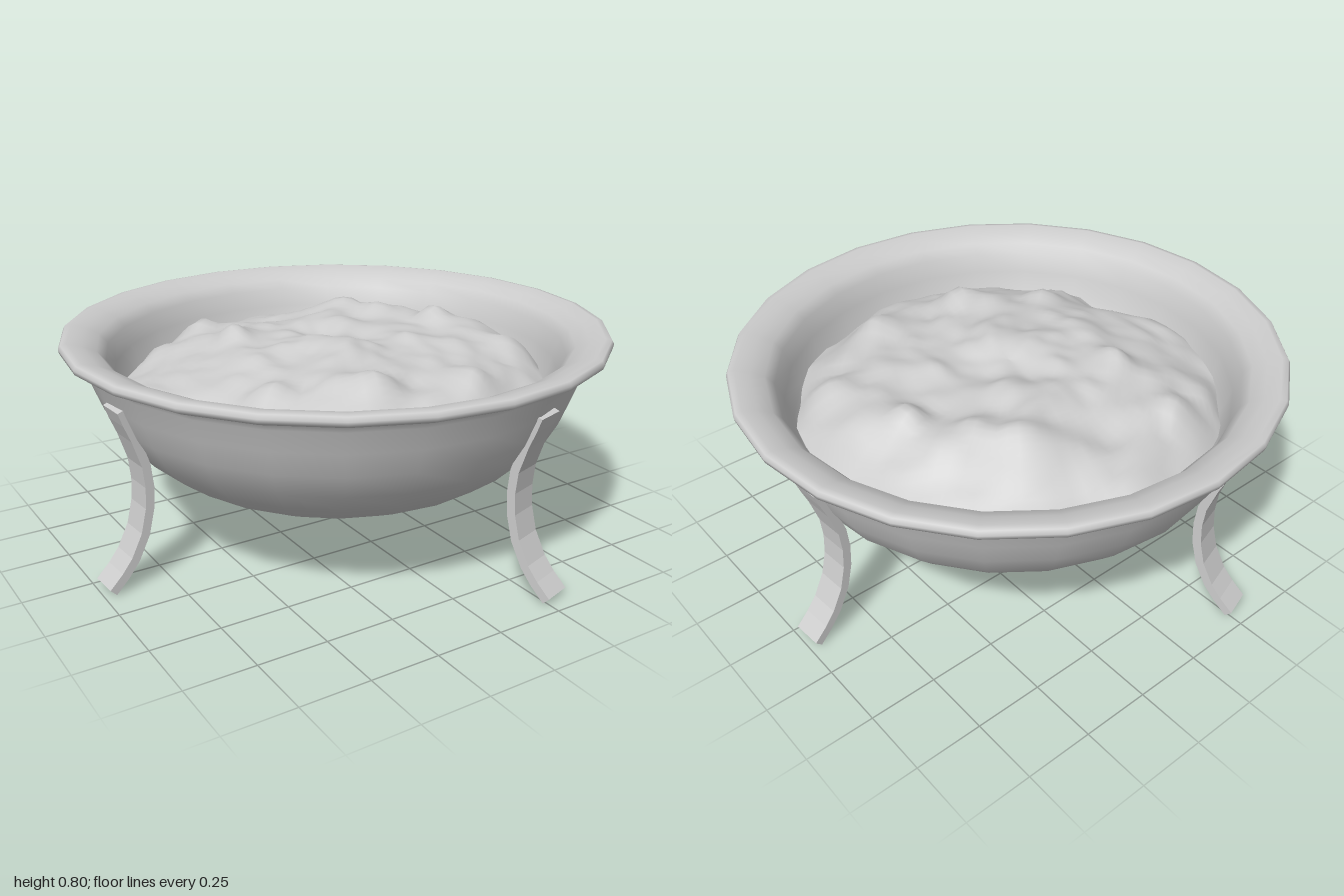
import * as THREE from 'three';
import { mergeVertices } from 'three/addons/utils/BufferGeometryUtils.js';

const V = (x, y) => new THREE.Vector2(x, y);

// Seeded smooth value noise on the xz plane, range -1..1
function hash(i, j) {
  const s = Math.sin(i * 127.1 + j * 311.7 + 5.3) * 43758.5453;
  return (s - Math.floor(s)) * 2 - 1;
}
function noise(x, z) {
  const i = Math.floor(x), j = Math.floor(z);
  const u = THREE.MathUtils.smoothstep(x - i, 0, 1);
  const v = THREE.MathUtils.smoothstep(z - j, 0, 1);
  const { lerp } = THREE.MathUtils;
  return lerp(lerp(hash(i, j), hash(i + 1, j), u), lerp(hash(i, j + 1), hash(i + 1, j + 1), u), v);
}

// Individual lumps on the heap: x, z, height, radius
const LUMPS = [
  [-0.08, 0.12, 0.05, 0.12], [0.29, -0.39, 0.06, 0.12], [0.38, -0.24, 0.05, 0.08],
  [-0.15, 0.49, 0.07, 0.1], [0.22, 0.56, 0.06, 0.09], [0.5, -0.06, 0.06, 0.07],
  [0.64, 0.06, 0.07, 0.13], [0.56, 0.3, 0.06, 0.1], [-0.3, -0.55, 0.07, 0.08],
  [-0.32, -0.24, 0.05, 0.07], [-0.45, 0.32, 0.05, 0.08],
];

function heapHeight(x, z) {
  const t = Math.min(1, Math.hypot(x, z) / 0.775);
  let y = 0.59 + 0.15 * (1 - t ** 3.5);
  y += 0.025 * noise(x * 4 + 9, z * 4) + 0.02 * noise(x * 8, z * 8 + 4) + 0.008 * noise(x * 17, z * 17);
  for (const [lx, lz, h, r] of LUMPS) {
    y += h * Math.exp(-((x - lx) ** 2 + (z - lz) ** 2) / (r * r));
  }
  return Math.min(y, 0.81);
}

// Rough mound of material filling the bowl
function heapGeometry() {
  let geo = new THREE.RingGeometry(0.002, 0.775, 80, 30).rotateX(-Math.PI / 2);
  geo.deleteAttribute('uv');
  geo.deleteAttribute('normal');
  geo = mergeVertices(geo, 1e-5);
  const p = geo.attributes.position;
  for (let i = 0; i < p.count; i++) {
    const x = p.getX(i), z = p.getZ(i), r = Math.hypot(x, z);
    // ragged outline and slightly shifted lumps
    const k = 1 + 0.02 * (r / 0.775) * noise(x * 7 + 3, z * 7 + 1);
    p.setXYZ(i, x * k, heapHeight(x, z), z * k);
  }
  geo.computeVertexNormals();
  return geo;
}

// Curved flat strip: outline in radius/height, extruded to its width
function legGeometry() {
  const line = [
    V(0.975, 0.016), V(0.925, 0.065), V(0.885, 0.115), V(0.842, 0.2), V(0.82, 0.29),
    V(0.815, 0.37), V(0.823, 0.45), V(0.855, 0.55), V(0.88, 0.61), V(0.897, 0.658),
  ];
  const side = (s) => line.map((p, i) => {
    const t = line[Math.min(i + 1, line.length - 1)].clone().sub(line[Math.max(i - 1, 0)]).normalize();
    return V(p.x + t.y * s, p.y - t.x * s);
  });
  const shape = new THREE.Shape([...side(0.016), ...side(-0.016).reverse()]);
  return new THREE.ExtrudeGeometry(shape, { depth: 0.11, bevelEnabled: false }).translate(0, 0, -0.055);
}

export function createModel() {
  const group = new THREE.Group();
  const grey = new THREE.MeshStandardMaterial({ color: 0xcccccc, side: THREE.DoubleSide });
  grey.name = 'plain grey';

  const add = (name, geometry) => {
    const mesh = new THREE.Mesh(geometry, grey);
    mesh.name = name;
    group.add(mesh);
    return mesh;
  };

  // Bowl with rolled rim: outside upward, over the rim, down the inside
  const profile = [
    [0, 0.165], [0.2, 0.175], [0.36, 0.2], [0.5, 0.24], [0.64, 0.31], [0.74, 0.385],
    [0.81, 0.46], [0.86, 0.55], [0.895, 0.64], [0.92, 0.72], [0.94, 0.757], [0.975, 0.757],
    [0.997, 0.768], [1.0, 0.783], [0.992, 0.797], [0.97, 0.801], [0.92, 0.787], [0.87, 0.765],
    [0.84, 0.73], [0.815, 0.66], [0.79, 0.58], [0.74, 0.48], [0.62, 0.38], [0.4, 0.28], [0, 0.23],
  ].map(([r, y]) => V(r, y));
  add('bowl', new THREE.LatheGeometry(profile, 24));

  add('heap', heapGeometry());

  // Four legs in two opposite pairs
  const leg = legGeometry();
  [4, 184, -72.5, 107.5].forEach((deg, i) => {
    add(`leg${i + 1}`, leg).rotation.y = THREE.MathUtils.degToRad(deg);
  });

  return group;
}
